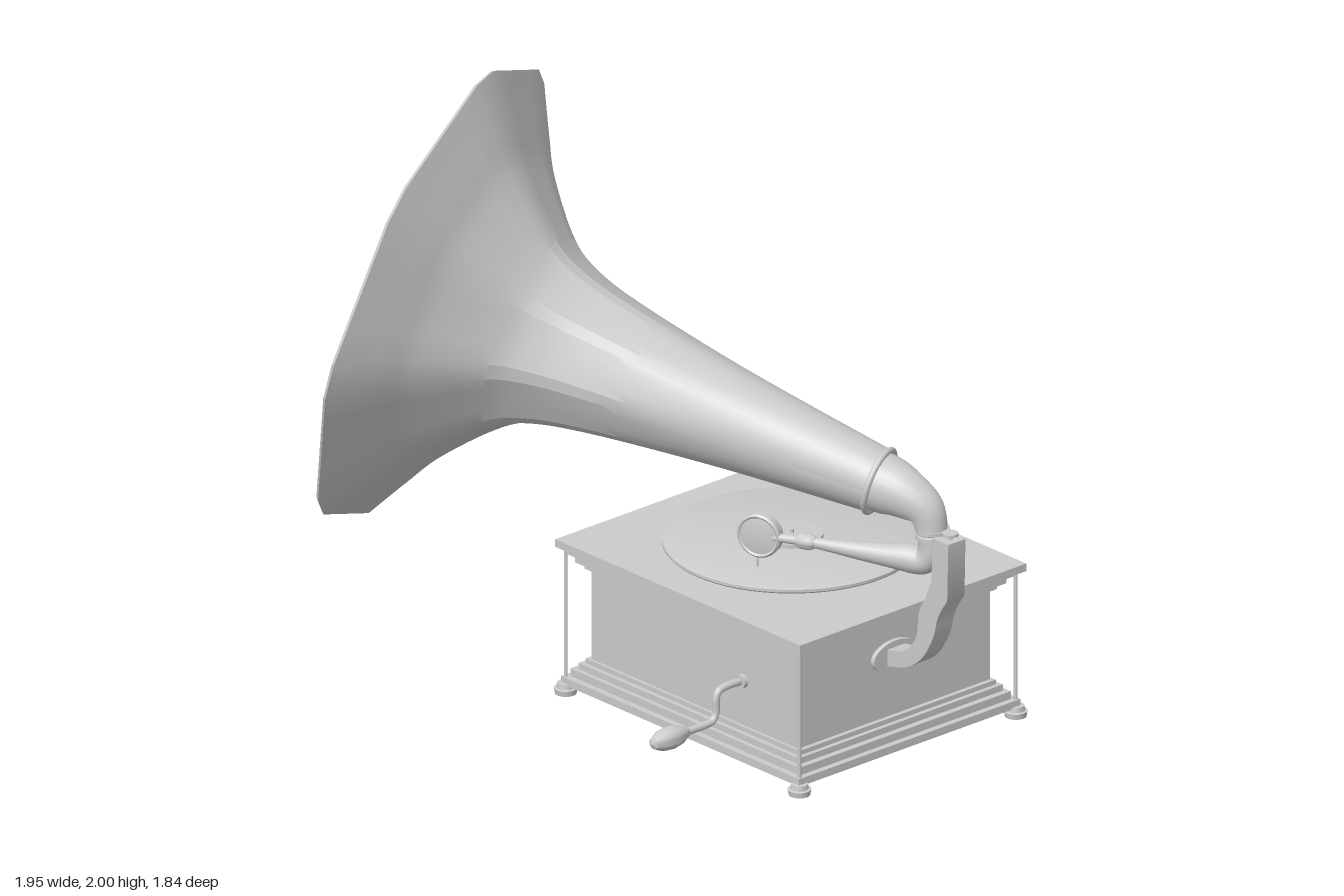
import * as THREE from 'three';
import { toCreasedNormals } from 'three/addons/utils/BufferGeometryUtils.js';

const V = (x, y, z) => new THREE.Vector3(x, y, z);
const grey = new THREE.MeshStandardMaterial({ color: 0xcccccc, side: THREE.DoubleSide });
const CX = 0.235, CZ = -0.45; // centre of the cabinet

export function createModel() {
  const model = new THREE.Group();

  const add = (name, geo, x = 0, y = 0, z = 0) => {
    const mesh = new THREE.Mesh(geo, grey);
    mesh.name = name;
    mesh.position.set(x, y, z);
    model.add(mesh);
    return mesh;
  };
  const slab = (name, y0, y1, w, d) =>
    add(name, new THREE.BoxGeometry(w, y1 - y0, d), CX, (y0 + y1) / 2, CZ);
  const disc = (name, r0, r1, y0, y1, x, z, n = 32) =>
    add(name, new THREE.CylinderGeometry(r1, r0, y1 - y0, n), x, (y0 + y1) / 2, z);
  const lathe = (pts, n = 32) =>
    toCreasedNormals(new THREE.LatheGeometry(pts.map(p => new THREE.Vector2(...p)), n), 0.6);

  // Tube along a smooth path whose radius follows a list of values
  const taperedTube = (name, pts, radii, n = 40, sides = 24) => {
    const curve = new THREE.CatmullRomCurve3(pts);
    const geo = new THREE.TubeGeometry(curve, n, 1, sides);
    const pos = geo.attributes.position, p = V();
    for (let i = 0; i < pos.count; i++) {
      const u = Math.floor(i / (sides + 1)) / n;
      const k = u * (radii.length - 1), j = Math.min(Math.floor(k), radii.length - 2);
      const c = curve.getPointAt(u);
      p.fromBufferAttribute(pos, i).sub(c)
        .multiplyScalar(THREE.MathUtils.lerp(radii[j], radii[j + 1], k - j)).add(c);
      pos.setXYZ(i, p.x, p.y, p.z);
    }
    return add(name, geo);
  };

  // Cabinet: body with stepped mouldings above and below
  slab('cabinetBody', 0.1, 0.43, 0.92, 0.78);
  slab('baseBoard', 0.03, 0.055, 1.06, 0.9);
  [[0.055, 0.08, 1.02, 0.86], [0.08, 0.1, 0.98, 0.83], [0.1, 0.115, 0.95, 0.8]]
    .forEach(s => slab('baseMoulding', ...s));
  slab('topBoard', 0.475, 0.5, 1.09, 0.92);
  [[0.455, 0.475, 1.03, 0.88], [0.43, 0.455, 0.99, 0.85], [0.41, 0.43, 0.95, 0.81]]
    .forEach(s => slab('topMoulding', ...s));

  // Corner feet and slim corner posts
  for (const sx of [-1, 1]) for (const sz of [-1, 1]) {
    const x = CX + sx * 0.52, z = CZ + sz * 0.44;
    add('foot', lathe([[0, 0], [0.033, 0], [0.036, 0.018], [0.028, 0.02], [0.026, 0.035], [0, 0.035]], 20), x, 0, z);
    disc('cornerPost', 0.006, 0.006, 0.03, 0.48, x, z, 10);
  }

  // Side plate with a round opening
  const plate = new THREE.Shape([[-0.1, -0.05], [0.1, -0.05], [0.1, 0.05], [-0.1, 0.05]]
    .map(p => new THREE.Vector2(...p)));
  plate.holes.push(new THREE.Path().absarc(0, 0, 0.038, 0, Math.PI * 2, true));
  add('sidePlate', new THREE.ExtrudeGeometry(plate, { depth: 0.015, bevelEnabled: false }),
    CX - 0.46, 0.255, CZ).rotation.y = -Math.PI / 2;

  // Turntable, record label and spindle
  disc('turntableHub', 0.036, 0.036, 0.5, 0.53, CX + 0.005, CZ);
  add('turntable', lathe([[0, 0], [0.385, 0], [0.39, 0.005], [0.39, 0.014], [0.367, 0.021], [0, 0.021]], 64),
    CX + 0.005, 0.53, CZ);
  disc('recordLabel', 0.095, 0.095, 0.55, 0.564, CX + 0.005, CZ);
  disc('spindle', 0.006, 0.006, 0.55, 0.576, CX + 0.005, CZ, 12);

  // Hand crank
  taperedTube('crankRod', [V(0.45, 0.26, -0.08), V(0.45, 0.262, 0.01), V(0.45, 0.255, 0.04), V(0.45, 0.235, 0.05),
    V(0.45, 0.185, 0.052), V(0.45, 0.165, 0.065), V(0.45, 0.16, 0.09), V(0.45, 0.16, 0.18)], [0.012, 0.012], 48, 12);
  add('crankHandle', lathe([[0, 0], [0.015, 0.003], [0.03, 0.035], [0.036, 0.07], [0.032, 0.11], [0.018, 0.14], [0, 0.15]], 24),
    0.45, 0.16, 0.165).rotation.x = Math.PI / 2;
  add('crankSocket', new THREE.CylinderGeometry(0.022, 0.022, 0.02, 20), 0.45, 0.26, -0.055).rotation.x = Math.PI / 2;

  // Curved support bracket on an oval flange
  const b = new THREE.Shape();
  b.moveTo(0.91, 0.77);
  b.lineTo(0.98, 0.77);
  b.lineTo(0.975, 0.585);
  b.splineThru([[0.935, 0.52], [0.91, 0.44], [0.86, 0.36], [0.79, 0.31], [0.7, 0.285]].map(p => new THREE.Vector2(...p)));
  b.lineTo(0.7, 0.34);
  b.splineThru([[0.78, 0.36], [0.835, 0.42], [0.85, 0.51], [0.88, 0.57], [0.905, 0.63]].map(p => new THREE.Vector2(...p)));
  add('supportBracket', toCreasedNormals(new THREE.ExtrudeGeometry(b, { depth: 0.07, bevelEnabled: false, curveSegments: 24 }), 0.6),
    0, 0, -0.48);
  const flange = add('bracketFlange', new THREE.CylinderGeometry(0.09, 0.09, 0.016, 40), 0.702, 0.312, -0.445);
  flange.rotation.z = Math.PI / 2;
  flange.scale.x = 0.56;
  disc('bracketScrew', 0.008, 0.008, 0.77, 0.785, 0.95, -0.445, 12);
  disc('bracketScrewHead', 0.025, 0.025, 0.783, 0.791, 0.95, -0.445, 20);

  // Tone arm, elbow and collar
  taperedTube('elbow', [V(0.7, 0.915, -0.357), V(0.79, 0.885, -0.4), V(0.85, 0.835, -0.438), V(0.868, 0.75, -0.45)],
    [0.096, 0.088, 0.07, 0.054, 0.046]);
  add('collar', lathe([[0.04, -0.016], [0.053, -0.016], [0.053, -0.004], [0.047, 0], [0.053, 0.004], [0.053, 0.016], [0.04, 0.016]]),
    0.866, 0.765, -0.45);
  add('collarLug', new THREE.BoxGeometry(0.07, 0.02, 0.05), 0.92, 0.76, -0.447);
  taperedTube('toneArm', [V(0.866, 0.77, -0.45), V(0.862, 0.7, -0.45), V(0.84, 0.67, -0.44), V(0.79, 0.668, -0.415),
    V(0.66, 0.667, -0.35), V(0.5, 0.67, -0.27), V(0.38, 0.665, -0.215)],
    [0.044, 0.044, 0.045, 0.036, 0.029, 0.022, 0.016, 0.014, 0.014], 60);
  const joint = add('toneArmJoint', lathe([[0, -0.03], [0.018, -0.03], [0.025, -0.015], [0.025, 0.015], [0.018, 0.03], [0, 0.03]], 20),
    0.5, 0.67, -0.27);
  joint.quaternion.setFromUnitVectors(V(0, 1, 0), V(-0.9, 0, 0.43).normalize());

  // Round sound box at the end of the tone arm
  const box = add('soundBox', lathe([[0, -0.022], [0.06, -0.022], [0.07, -0.014], [0.07, 0.014], [0.064, 0.02], [0.058, 0.016], [0, 0.026]], 40),
    0.36, 0.665, -0.212);
  box.quaternion.setFromUnitVectors(V(0, 1, 0), V(0.4, 0, 0.92).normalize());
  add('needle', new THREE.CylinderGeometry(0.005, 0.002, 0.05, 8), 0.355, 0.585, -0.205);

  // Horn: round at the neck, blending into eight flared panels
  const axis = V(-1.35, 0.36, 0.59).normalize();
  const up = V(0, 1, 0).addScaledVector(axis, -axis.y).normalize();
  const side = axis.clone().cross(up);
  const frame = new THREE.Matrix4().makeBasis(up, side, axis).setPosition(0.72, 0.91, -0.366);

  const outer = new THREE.SplineCurve([[0.1, 0], [0.15, 0.47], [0.215, 0.9], [0.265, 1.09], [0.335, 1.2],
    [0.49, 1.345], [0.61, 1.425], [0.755, 1.515]].map(p => new THREE.Vector2(...p))).getPoints(42);
  const inner = outer.map(p => new THREE.Vector2(p.x - 0.008, p.y + 0.01)).reverse();
  const half = THREE.MathUtils.degToRad(17.9); // half angle of a panel between its seams
  const angles = [];
  for (let k = 0; k < 8; k++)
    for (const f of [-1, -0.5, 0, 0.5, 1]) angles.push([(k + 0.5) * Math.PI / 4 + f * half, f * half]);

  const rings = [...outer, ...inner], n = angles.length, pos = [], idx = [];
  rings.forEach(({ x: r, y: t }, i) => {
    const flat = THREE.MathUtils.smoothstep(t, 0.2, 1.25);
    angles.forEach(([a, off], j) => {
      const rr = r * THREE.MathUtils.lerp(1, Math.cos(half) / Math.cos(off), flat);
      pos.push(rr * Math.cos(a), rr * Math.sin(a), t);
      if (i < rings.length - 1) {
        const p = i * n + j, q = i * n + (j + 1) % n;
        idx.push(p, q, q + n, p, q + n, p + n);
      }
    });
  });
  const hornGeo = new THREE.BufferGeometry();
  hornGeo.setAttribute('position', new THREE.Float32BufferAttribute(pos, 3));
  hornGeo.setIndex(idx);
  add('horn', toCreasedNormals(hornGeo, 0.3).applyMatrix4(frame));
  add('hornRing', new THREE.TorusGeometry(0.1, 0.01, 12, 40).applyMatrix4(frame));

  return model;
}
